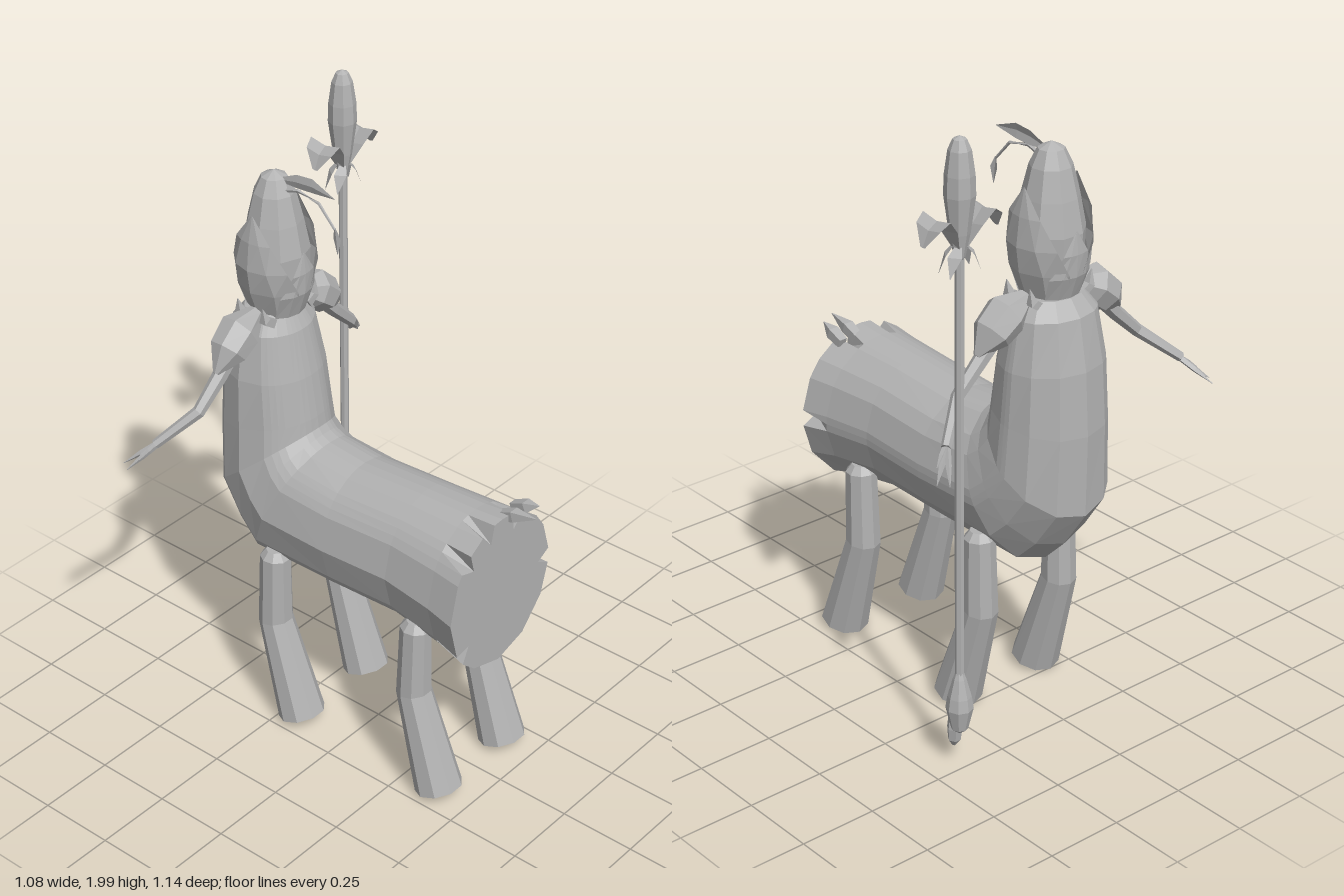
import * as THREE from 'three';

const grey = new THREE.MeshStandardMaterial({ color: 0xb2b2b2, flatShading: true, side: THREE.DoubleSide });
grey.name = 'grey';
const V = (x, y, z) => new THREE.Vector3(x, y, z);

function fromTriangles(tris) {
  const g = new THREE.BufferGeometry().setFromPoints(tris.flat());
  g.computeVertexNormals();
  return g;
}

// Closed skin over rings of points, capped at both ends, always facing outwards
function loft(rings) {
  const tris = [], n = rings[0].length;
  for (let i = 0; i < rings.length - 1; i++) {
    for (let j = 0; j < n; j++) {
      const k = (j + 1) % n, a = rings[i], b = rings[i + 1];
      tris.push([a[j], a[k], b[k]], [a[j], b[k], b[j]]);
    }
  }
  const cap = (ring, flip) => {
    const c = ring.reduce((s, p) => s.add(p), V(0, 0, 0)).divideScalar(n);
    ring.forEach((p, j) => {
      const q = ring[(j + 1) % n];
      tris.push(flip ? [c, q, p] : [c, p, q]);
    });
  };
  cap(rings[0], true);
  cap(rings[rings.length - 1], false);
  const volume = tris.reduce((s, [a, b, c]) => s + a.dot(b.clone().cross(c)), 0);
  if (volume < 0) tris.forEach(t => t.reverse());
  return fromTriangles(tris);
}

// Tapered limb along points with a radius at each
function limb(points, radii, sides = 6) {
  return loft(points.map((p, i) => {
    const dir = points[Math.min(i + 1, points.length - 1)].clone().sub(points[Math.max(i - 1, 0)]).normalize();
    const u = V(0, 0, 1).addScaledVector(dir, -dir.z).normalize(), v = dir.clone().cross(u);
    return Array.from({ length: sides }, (_, j) => {
      const t = ((j + 0.5) / sides) * Math.PI * 2;
      return p.clone().addScaledVector(u, Math.cos(t) * radii[i]).addScaledVector(v, Math.sin(t) * radii[i]);
    });
  }));
}

// Thin open sheet from rows of points
function sheet(rows) {
  const tris = [];
  for (let i = 0; i < rows.length - 1; i++) {
    for (let j = 0; j < rows[i].length - 1; j++) {
      const a = rows[i], b = rows[i + 1];
      tris.push([a[j], a[j + 1], b[j + 1]], [a[j], b[j + 1], b[j]]);
    }
  }
  return fromTriangles(tris);
}

// Leaf along a path, widened along one direction with a slight fold
function leaf(points, widths, side, fold = V(0, 0, 0)) {
  return sheet(points.map((p, i) => [-1, 0, 1].map(s =>
    p.clone().addScaledVector(side, s * widths[i]).addScaledVector(fold, Math.abs(s) * widths[i]))));
}

// Petal wrapped around an upright axis; rows are [radius, y, half angle]
function petal(rows, angle) {
  return sheet(rows.map(([r, y, half]) => [-1, -0.5, 0, 0.5, 1].map(s => {
    const t = angle + s * half;
    return V(Math.sin(t) * r, y, Math.cos(t) * r);
  })));
}

export function createModel() {
  const model = new THREE.Group();
  const add = (name, geometry, parent = model) => {
    const m = new THREE.Mesh(geometry, grey);
    m.name = name;
    parent.add(m);
    return m;
  };
  const group = (name, x, y, z) => {
    const g = new THREE.Group();
    g.name = name;
    g.position.set(x, y, z);
    model.add(g);
    return g;
  };

  // Log body bending up into the torso: inner y, inner z, outer y, outer z, half width
  const sections = [
    [1.0, 0.48, 0.48, 0.48, 0.238], [0.992, 0.38, 0.51, 0.38, 0.222], [0.985, 0.2, 0.54, 0.2, 0.205],
    [0.97, -0.05, 0.535, -0.05, 0.207], [0.985, -0.19, 0.53, -0.4, 0.205],
    [1.0, -0.22, 0.61, -0.48, 0.197], [1.02, -0.235, 0.74, -0.57, 0.187],
    [1.06, -0.24, 1.0, -0.573, 0.176], [1.2, -0.262, 1.2, -0.56, 0.167],
    [1.35, -0.295, 1.36, -0.53, 0.14], [1.41, -0.325, 1.41, -0.49, 0.1],
  ];
  // Angles in degrees from the top; notched ones cut into the front rim
  const angles = [0, 12, 18, 24, 45, 60, 84, 90, 96, 120, 150, 180, 210, 227, 233, 239, 270, 300, 308, 315, 322, 337, 344, 351];
  const notches = [18, 90, 233, 315, 344];
  add('logBody', loft(sections.map(([iy, iz, oy, oz, w], i) => angles.map(a => {
    const t = THREE.MathUtils.degToRad(a), r = i === 0 && notches.includes(a) ? 0.78 : 1;
    const c = Math.cos(t) * r;
    return V(-0.006 + Math.sin(t) * w * r, (iy + oy) / 2 + c * (iy - oy) / 2, (iz + oz) / 2 + c * (iz - oz) / 2);
  }))));

  // Splinters at the broken rim
  for (const [x, z] of [[0.04, 0.57], [0.1, 0.535]]) {
    add('splinter', limb([V(x, 0.975, 0.44), V(x, 0.995, 0.49), V(x, 1.015, z)], [0.02, 0.024, 0.001], 4));
  }

  // Legs
  for (const x of [-0.167, 0.153]) {
    for (const z of [-0.28, 0.288]) {
      add(z > 0 ? 'frontLeg' : 'backLeg', limb(
        [V(x, 0.63, z), V(x, 0.605, z), V(x, 0.36, z - 0.005), V(x, 0.028, z + 0.098)],
        [0.03, 0.05, 0.056, 0.077], 9));
    }
  }

  // Arms with shoulder pads and twig fingers
  for (const s of [-1, 1]) {
    const P = (x, y, z) => V(s * x - 0.005, y, z);
    add('shoulderPad', limb([P(0.09, 1.41, -0.4), P(0.165, 1.38, -0.4), P(0.22, 1.335, -0.4), P(0.275, 1.28, -0.4)],
      [0.025, 0.066, 0.06, 0.01], 7));
    add('arm', limb([P(0.15, 1.38, -0.4), P(0.26, 1.265, -0.4), P(0.35, 1.18, -0.405), P(0.46, 1.085, -0.485)],
      [0.03, 0.024, 0.02, 0.015]));
    for (const tip of [P(0.535, 1.01, -0.535), P(0.515, 1.01, -0.568), P(0.51, 1.045, -0.505)]) {
      const base = P(0.45, 1.09, -0.478);
      add('finger', limb([base, base.clone().lerp(tip, 0.5), tip], [0.01, 0.009, 0.001], 4));
    }
  }

  // Bud head wrapped in petals
  const head = group('head', -0.008, 0, -0.395);
  const profile = [[0.001, 1.39], [0.08, 1.4], [0.1, 1.48], [0.105, 1.6], [0.086, 1.7], [0.064, 1.79], [0.04, 1.84], [0, 1.86]];
  add('bud', new THREE.LatheGeometry(profile.map(p => new THREE.Vector2(...p)), 9), head);
  const sidePetal = [[0.085, 1.4, 1.5], [0.117, 1.49, 1.35], [0.128, 1.57, 1.0], [0.118, 1.66, 0.6], [0.1, 1.745, 0.02]];
  const lowPetal = [[0.088, 1.4, 0.9], [0.115, 1.48, 0.75], [0.119, 1.55, 0.4], [0.112, 1.62, 0.02]];
  for (const s of [-1, 1]) add('sidePetal', petal(sidePetal, s * Math.PI / 2), head);
  for (const a of [0, Math.PI]) add('lowPetal', petal(lowPetal, a), head);

  // Neck sepals
  for (const x of [-0.11, 0.11]) {
    for (const z of [-0.05, 0.05]) {
      add('sepal', limb([V(x * 0.7, 1.39, z), V(x, 1.41, z), V(x * 1.08, 1.455, z)], [0.02, 0.018, 0.001], 4), head);
    }
  }

  // Crest leaf and hanging sprig
  const crest = group('crest', -0.008, 0, 0);
  add('crestLeaf', leaf([V(0, 1.815, -0.4), V(0, 1.835, -0.36), V(0, 1.845, -0.31), V(0, 1.85, -0.25), V(0, 1.84, -0.16)],
    [0.004, 0.01, 0.022, 0.023, 0.001], V(0, 1, 0), V(0.25, 0, 0)), crest);
  add('sprigStem', limb([V(0, 1.8, -0.37), V(0, 1.82, -0.3), V(0, 1.805, -0.22), V(0, 1.74, -0.16)],
    [0.008, 0.006, 0.005, 0.004], 5), crest);
  add('sprigLeaf', leaf([V(0, 1.745, -0.16), V(0, 1.71, -0.155), V(0, 1.66, -0.15)],
    [0.003, 0.015, 0.001], V(0, 0, 1), V(0.3, 0, 0)), crest);

  // Spear with bud tip, leaf guards and root bulb
  const spear = group('spear', 0.405, 0, -0.485);
  const lathe = (name, pts, sides) =>
    add(name, new THREE.LatheGeometry(pts.map(p => new THREE.Vector2(...p)), sides), spear);
  lathe('shaft', [[0.014, 0.28], [0.014, 1.67]], 7);
  lathe('spearTip', [[0.001, 1.62], [0.016, 1.65], [0.03, 1.72], [0.045, 1.83], [0.043, 1.89], [0.033, 1.96], [0.02, 1.99], [0, 2.0]], 8);
  lathe('rootBulb', [[0.001, 0.12], [0.026, 0.14], [0.042, 0.21], [0.036, 0.25], [0.02, 0.31], [0.013, 0.33]], 8);
  add('rootNub', limb([V(0, 0.2, 0.02), V(0, 0.13, 0.022), V(0, 0.09, 0.024), V(0, 0.068, 0.026)], [0.018, 0.024, 0.02, 0.006], 6), spear);
  for (const s of [-1, 1]) {
    add('guardLeaf', leaf([V(s * 0.012, 1.67, 0), V(s * 0.045, 1.735, 0), V(s * 0.08, 1.775, 0), V(s * 0.11, 1.755, 0), V(s * 0.13, 1.71, 0)],
      [0.015, 0.045, 0.058, 0.05, 0.01], V(0, 0, 1), V(0, 0.2, 0)), spear);
    for (const z of [-1, 1]) {
      add('smallLeaf', leaf([V(s * 0.01, 1.69, z * 0.01), V(s * 0.035, 1.66, z * 0.02), V(s * 0.055, 1.605, z * 0.025)],
        [0.008, 0.02, 0.001], V(s * 0.6, 0, -z * 0.8)), spear);
    }
  }
  return model;
}
